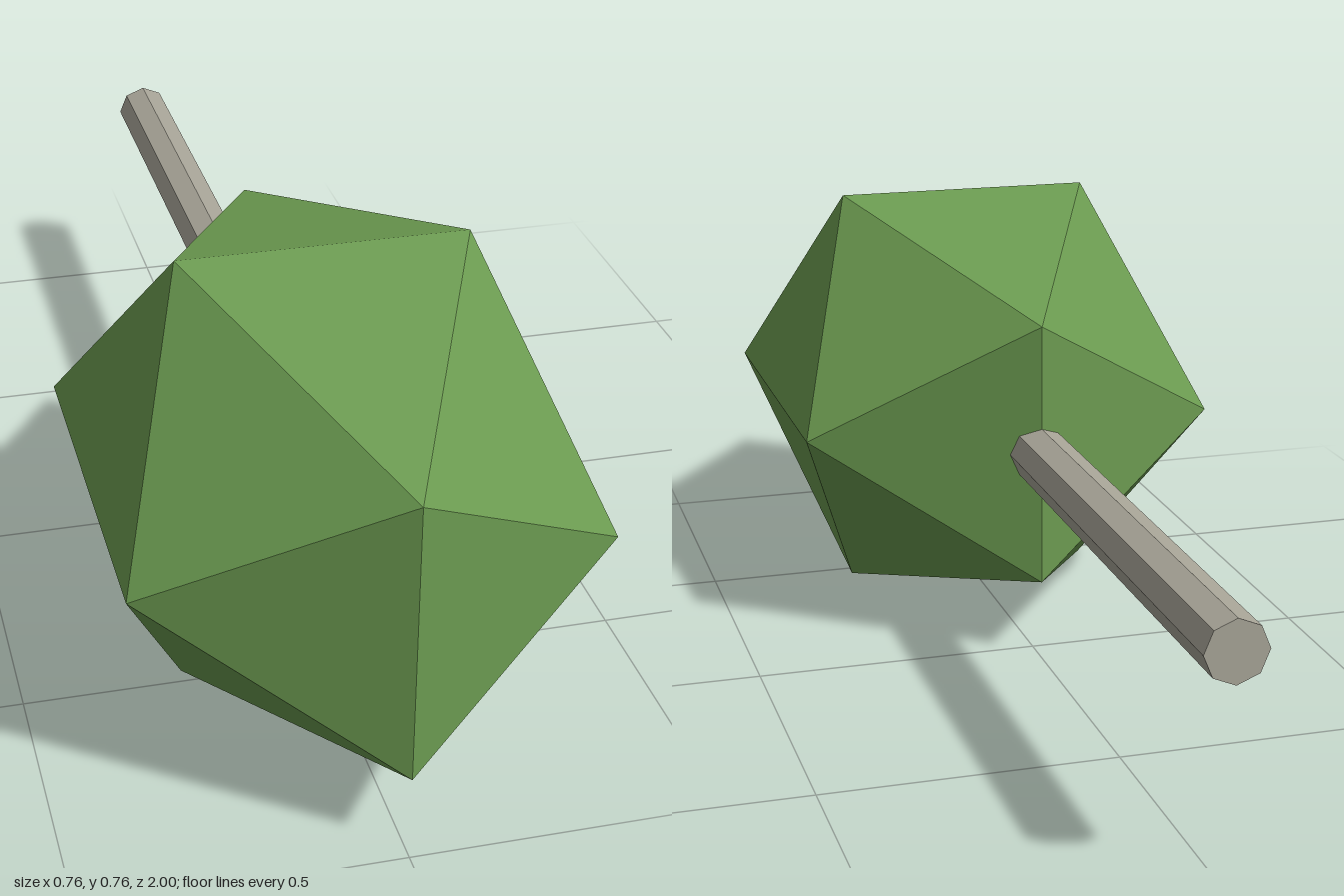
import * as THREE from 'three';

export function createModel() {
  const group = new THREE.Group();
  const mat = (color) => new THREE.MeshStandardMaterial({ color, flatShading: true });

  // faceted head, stretched along z
  const head = new THREE.Mesh(new THREE.IcosahedronGeometry(0.444, 0), mat(0x6b9a50));
  head.name = 'head';
  head.scale.z = 1.4;
  head.position.set(0, 0.379, 0.471);

  // eight-sided handle running back from inside the head
  const back = -1, inner = 0.1;
  const handle = new THREE.Mesh(new THREE.CylinderGeometry(0.05, 0.05, inner - back, 8), mat(0xa8a598));
  handle.name = 'handle';
  handle.rotation.x = Math.PI / 2;
  handle.position.set(0, 0.379, (inner + back) / 2);

  group.add(head, handle);
  return group;
}
